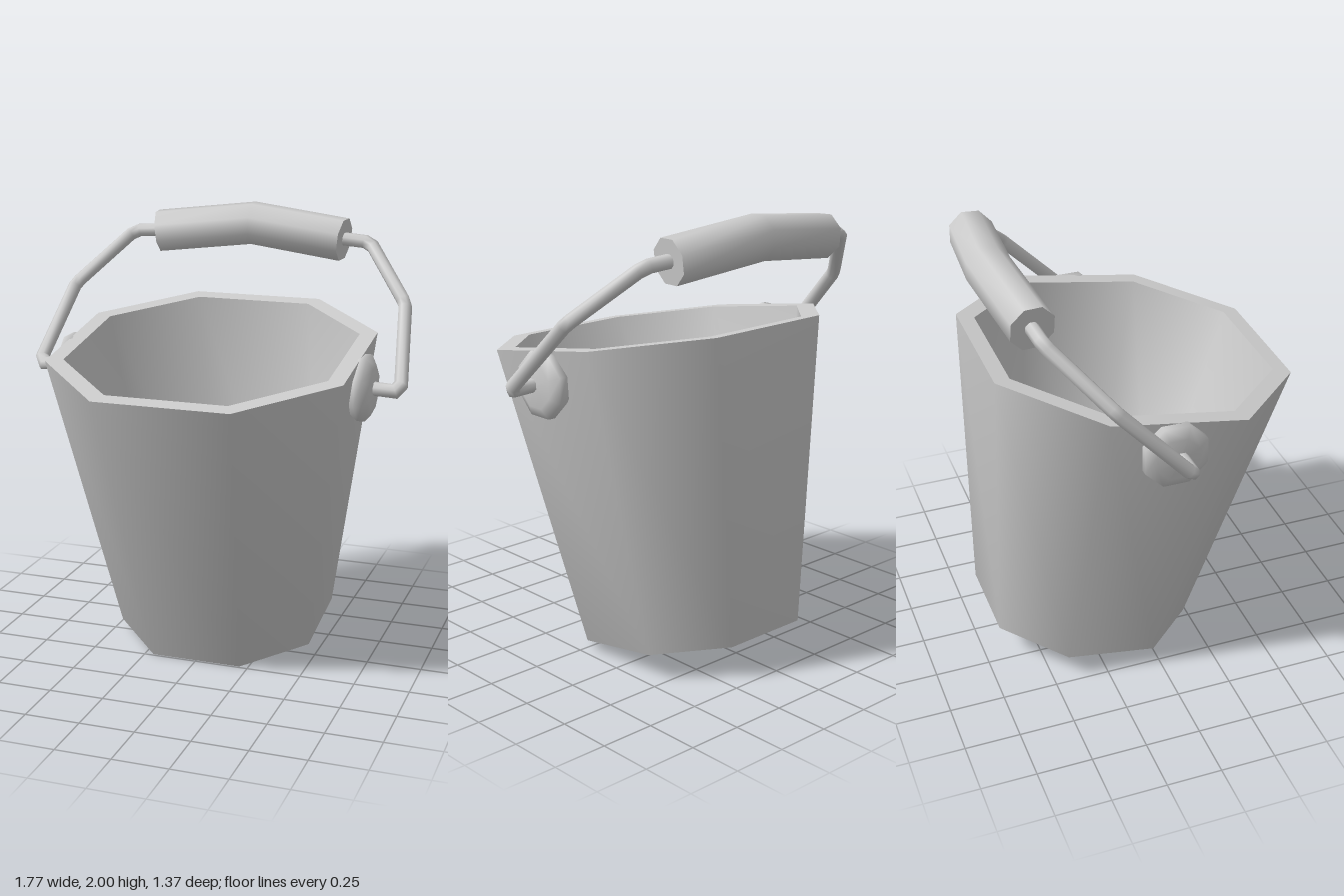
import * as THREE from 'three';

const material = new THREE.MeshStandardMaterial({ color: 0xcccccc });

function addMesh(parent, geometry, name) {
  const mesh = new THREE.Mesh(geometry, material);
  mesh.name = name;
  parent.add(mesh);
  return mesh;
}

// Skin a list of equal-sized rings with smooth normals.
function loft(rings) {
  const n = rings[0].length;
  const index = [];
  for (let r = 0; r < rings.length - 1; r++) {
    for (let i = 0; i < n; i++) {
      const a = r * n + i, b = r * n + (i + 1) % n;
      index.push(a, b, a + n, b, b + n, a + n);
    }
  }
  const geometry = new THREE.BufferGeometry().setFromPoints(rings.flat());
  geometry.setIndex(index);
  geometry.computeVertexNormals();
  return geometry;
}

// Eight-cornered ring of the bucket; half is the distance to its flats.
function octagon(half, y) {
  const c = half * 0.45;
  return [[c, half], [half, c], [half, -c], [c, -half], [-c, -half], [-half, -c], [-half, c], [-c, half]]
    .map(([x, z]) => new THREE.Vector3(x, y, z));
}

// Octagonal bar mitred along a path in the xy plane, with flat ends.
function sweep(points, radius) {
  const path = points.map(([x, y]) => new THREE.Vector2(x, y));
  const rings = path.map((p, i) => {
    const before = p.clone().sub(path[Math.max(i - 1, 0)]).normalize();
    const after = path[Math.min(i + 1, path.length - 1)].clone().sub(p).normalize();
    const t = before.clone().add(after).normalize();
    const miter = radius / Math.max(0.7, t.dot(i ? before : after));
    return Array.from({ length: 8 }, (_, k) => {
      const a = (k + 0.5) * Math.PI / 4;
      const s = Math.cos(a) * miter;
      return new THREE.Vector3(p.x - t.y * s, p.y + t.x * s, Math.sin(a) * radius);
    });
  });
  const cap = (ring) => {
    const c = ring.reduce((sum, v) => sum.add(v), new THREE.Vector3()).divideScalar(ring.length);
    return ring.map(() => c.clone());
  };
  const first = rings[0], last = rings[rings.length - 1];
  return [loft(rings), loft([cap(first), first]), loft([last, cap(last)])];
}

export function createModel() {
  const model = new THREE.Group();
  model.name = 'bucketWithHandle';

  // Tapered bucket, leaning forward
  const bucket = new THREE.Group();
  bucket.name = 'bucket';
  bucket.rotation.x = 0.167;
  bucket.position.set(0, 0.082, -0.22);
  model.add(bucket);
  const height = 1.371;
  addMesh(bucket, loft([octagon(0, 0), octagon(0.466, 0), octagon(0.685, height)]), 'outerShell');
  addMesh(bucket, loft([octagon(0.685, height), octagon(0.61, height)]), 'rim');
  addMesh(bucket, loft([octagon(0.61, height), octagon(0.41, 0.07), octagon(0, 0.07)]), 'innerShell');

  // Domed octagonal ears on both sides
  const earProfile = [[0, -0.06], [0.11, -0.05], [0.15, 0], [0.15, 0.035], [0.1, 0.06], [0, 0.065]]
    .map(([r, y]) => new THREE.Vector2(r, y));
  for (const side of [1, -1]) {
    const geometry = new THREE.LatheGeometry(earProfile, 8)
      .rotateY(Math.PI / 8)
      .rotateZ(-side * Math.PI / 2);
    addMesh(model, geometry, side > 0 ? 'leftEar' : 'rightEar').position.set(side * 0.68, 1.295, -0.02);
  }

  // Handle swung backwards about the ears
  const handle = new THREE.Group();
  handle.name = 'handle';
  handle.position.y = 1.29;
  handle.rotation.x = -0.759;
  model.add(handle);

  const half = [[0.68, 0.02], [0.75, 0.01], [0.835, 0.005], [0.857, 0.04],
    [0.806, 0.44], [0.79, 0.475], [0.6, 0.755], [0.56, 0.78], [0.45, 0.79]];
  const wirePath = [...half.map(([x, y]) => [-x, y]), [0, 0.855], ...half.reverse()];
  for (const part of sweep(wirePath, 0.031)) addMesh(handle, part, 'wire');

  // Bent grip around the middle of the wire
  const gripPath = [[-0.457, 0.785], [0, 0.855], [0.457, 0.785]];
  for (const part of sweep(gripPath, 0.102)) addMesh(handle, part, 'grip');

  return model;
}
